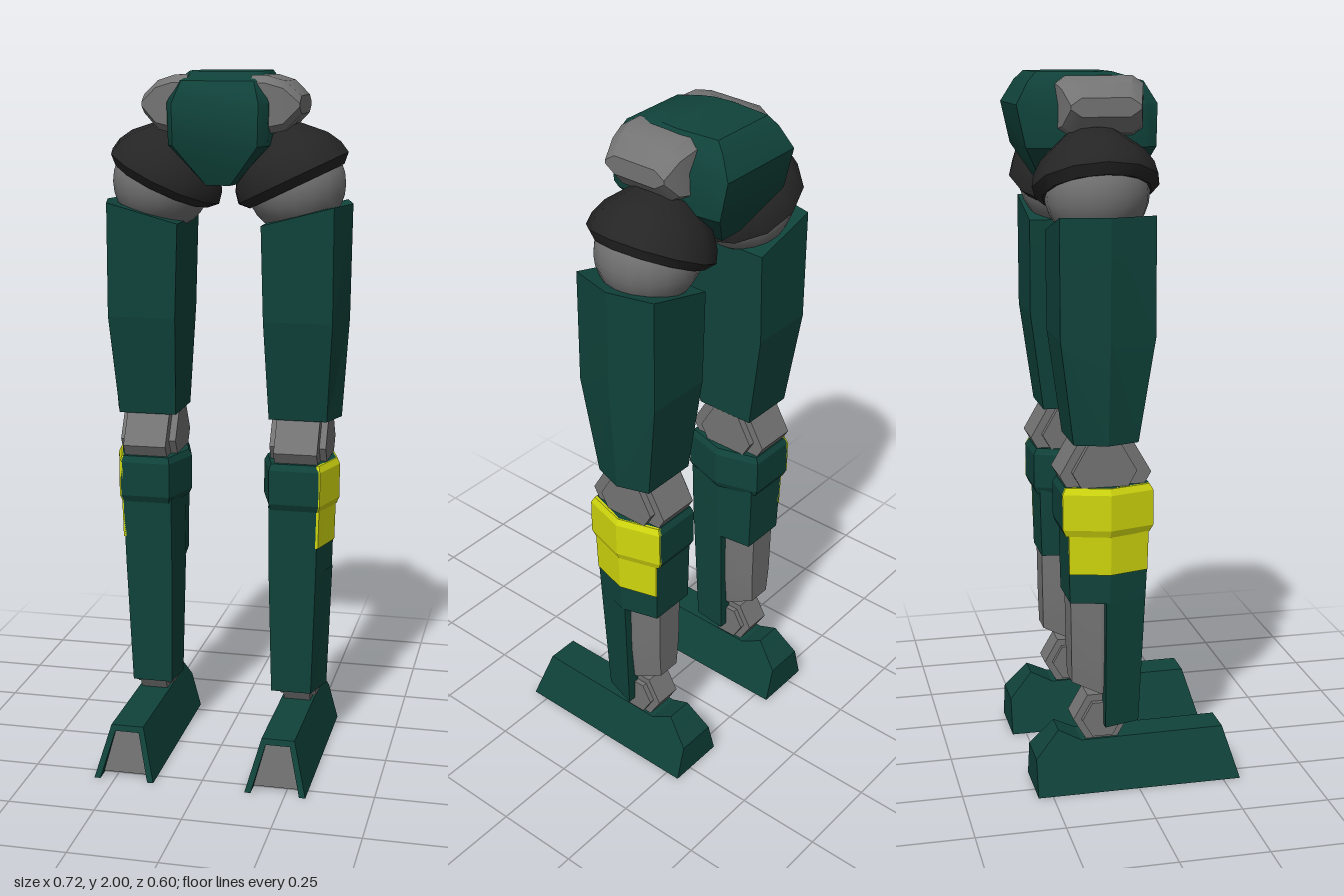
import * as THREE from 'three';
import { toCreasedNormals } from 'three/addons/utils/BufferGeometryUtils.js';

const material = (name, color) => {
  const m = new THREE.MeshStandardMaterial({ color });
  m.name = name;
  return m;
};

// Closed loft through rings of [x, y, z] points; axis (0..2) is the direction of travel
function loft(rings, axis) {
  const pos = [];
  const tri = (a, b, c) => pos.push(...a, ...b, ...c);
  const n = rings[0].length;
  for (let k = 0; k + 1 < rings.length; k++) {
    const a = rings[k], b = rings[k + 1];
    for (let i = 0; i < n; i++) {
      const j = (i + 1) % n;
      tri(a[i], a[j], b[j]);
      tri(a[i], b[j], b[i]);
    }
  }
  const cap = (ring, flip) => {
    const flat = ring.map((p) => new THREE.Vector2(...p.filter((_, i) => i !== axis)));
    const reverse = THREE.ShapeUtils.isClockWise(flat) !== flip;
    for (const [a, b, c] of THREE.ShapeUtils.triangulateShape(flat, [])) {
      if (reverse) tri(ring[a], ring[c], ring[b]);
      else tri(ring[a], ring[b], ring[c]);
    }
  };
  cap(rings[0], true);
  cap(rings[rings.length - 1], false);
  const g = new THREE.BufferGeometry();
  g.setAttribute('position', new THREE.Float32BufferAttribute(pos, 3));
  return g;
}

// Mirror if asked, turn all faces outward and crease the edges
function finish(source, side, crease) {
  const g = source.index ? source.toNonIndexed() : source.clone();
  g.deleteAttribute('uv');
  g.scale(side, 1, 1);
  const p = g.attributes.position;
  const [a, b, c] = [0, 1, 2].map(() => new THREE.Vector3());
  let volume = 0;
  for (let i = 0; i < p.count; i += 3) {
    a.fromBufferAttribute(p, i);
    b.fromBufferAttribute(p, i + 1);
    c.fromBufferAttribute(p, i + 2);
    volume += a.dot(b.cross(c));
  }
  if (volume < 0) {
    for (let i = 0; i < p.count; i += 3) {
      b.fromBufferAttribute(p, i + 1);
      c.fromBufferAttribute(p, i + 2);
      p.setXYZ(i + 1, c.x, c.y, c.z);
      p.setXYZ(i + 2, b.x, b.y, b.z);
    }
  }
  return toCreasedNormals(g, crease);
}

// Horizontal six-sided ring, pointed on the inner and outer side
const hexRing = (y, tipIn, xIn, xOut, tipOut, front, back) => {
  const mid = (front + back) / 2;
  return [[xIn, y, front], [xOut, y, front], [tipOut, y, mid],
    [xOut, y, back], [xIn, y, back], [tipIn, y, mid]];
};

// Thin chevron plate over the outer faces of a stack of hex rings
const outerPlate = (rings) => loft(rings.map((r) => {
  const [f, t, b] = [r[1], r[2], r[3]];
  const d = 0.004;
  return [[f[0] + d, f[1], f[2]], [t[0] + d, t[1], t[2]], [b[0] + d, b[1], b[2]],
    [b[0] - d, b[1], b[2]], [t[0] - d, t[1], t[2]], [f[0] - d, f[1], f[2]]];
}), 1);

// Six-sided joint barrel lying along x
const barrel = (radius, x0, x1, y, z) => new THREE.CylinderGeometry(radius, radius, x1 - x0, 6)
  .rotateY(Math.PI / 6 + Math.PI / 3).rotateZ(Math.PI / 2).rotateX(Math.PI / 2)
  .translate((x0 + x1) / 2, y, z);

export function createModel() {
  const green = material('dark green', 0x10433b);
  const grey = material('mid grey', 0x747474);
  const black = material('near black', 0x252525);
  const yellow = material('yellow', 0xd2d80e);

  const model = new THREE.Group();
  model.name = 'mechanicalLegs';
  const legs = { 1: new THREE.Group(), '-1': new THREE.Group() };
  legs[1].name = 'leftLeg';
  legs[-1].name = 'rightLeg';
  model.add(legs[1], legs[-1]);
  const add = (name, geo, mat, crease = 0.1) => {
    for (const side of [1, -1]) {
      const mesh = new THREE.Mesh(finish(geo, side, crease), mat);
      mesh.name = name;
      legs[side].add(mesh);
    }
  };

  // Pelvis: half width, front and back at each height
  const pelvis = loft([
    [1.69, 0.04, 0.045, -0.21], [1.80, 0.14, 0.088, -0.275], [1.915, 0.143, 0.09, -0.3],
    [1.975, 0.12, 0.055, -0.265], [2.0, 0.105, -0.03, -0.24],
  ].map(([y, w, f, b]) => {
    const half = [[w * 0.95, y, b], [w * 1.05, y, b + 0.12], [w, y, f - 0.035], [w * 0.85, y, f]];
    return [...half, ...half.map(([x, h, z]) => [-x, h, z]).reverse()];
  }), 1);
  const pelvisMesh = new THREE.Mesh(finish(pelvis, 1, 0.6), green);
  pelvisMesh.name = 'pelvis';
  model.add(pelvisMesh);

  // Grey pods on the flanks of the pelvis
  add('hipPod', loft([
    [0.09, 1.83, 1.99, -0.195, 0.05], [0.13, 1.83, 1.99, -0.193, 0.048],
    [0.18, 1.84, 1.975, -0.185, 0.035], [0.224, 1.885, 1.935, -0.17, 0.022],
  ].map(([x, y0, y1, z0, z1]) => [
    [x, y0, z0 + 0.03], [x, y0 + 0.02, z0], [x, y1 - 0.02, z0], [x, y1, z0 + 0.03],
    [x, y1, z1 - 0.03], [x, y1 - 0.02, z1], [x, y0 + 0.02, z1], [x, y0, z1 - 0.03],
  ]), 0), grey, 0.5);

  // Tilted hip dome and the ball under it
  const domeProfile = [[0, 0], [0.15, 0], [0.175, 0.025], [0.168, 0.06], [0.145, 0.1],
    [0.085, 0.158], [0, 0.17]].map(([r, h]) => new THREE.Vector2(r, h));
  add('hipDome', new THREE.LatheGeometry(domeProfile, 12).rotateZ(0.45)
    .translate(0.197, 1.68, -0.095), black, 0.65);
  add('hipBall', new THREE.SphereGeometry(0.143, 18, 14).translate(0.195, 1.69, -0.095), grey, 0.8);

  // Thigh, with a sloping top edge
  const thighRing = (y, yIn, xIn, xOut, tip, f, b) => [[xIn, yIn, f], [xOut, y, f],
    [tip, y, (f + b) / 2], [xOut, y, b], [xIn, yIn, b]];
  add('thigh', loft([
    thighRing(1.02, 1.02, 0.138, 0.307, 0.337, -0.005, -0.185),
    thighRing(1.31, 1.31, 0.128, 0.326, 0.356, 0.038, -0.223),
    thighRing(1.635, 1.58, 0.12, 0.326, 0.36, 0.038, -0.223),
  ], 1), green);

  // Knee
  add('knee', barrel(0.128, 0.16, 0.286, 0.93, -0.092), grey);
  add('kneeCap', barrel(0.09, 0.14, 0.305, 0.94, -0.098), grey);

  // Bevelled collar below the knee
  const collar = [
    hexRing(0.76, 0.12, 0.153, 0.288, 0.323, 0.03, -0.205),
    hexRing(0.78, 0.11, 0.148, 0.293, 0.331, 0.04, -0.214),
    hexRing(0.88, 0.11, 0.148, 0.293, 0.331, 0.04, -0.214),
    hexRing(0.898, 0.12, 0.153, 0.288, 0.323, 0.03, -0.205),
  ];
  add('shinCollar', loft(collar, 1), green);
  add('collarStripe', outerPlate(collar), yellow);

  // Shin: full block above, front shell below
  const shinTop = hexRing(0.77, 0.127, 0.145, 0.29, 0.321, 0.028, -0.197);
  const stripeEnd = hexRing(0.65, 0.13, 0.146, 0.287, 0.318, 0.025, -0.195);
  add('upperShin', loft([
    hexRing(0.565, 0.132, 0.146, 0.285, 0.316, 0.021, -0.193), stripeEnd, shinTop], 1), green);
  add('shinStripe', outerPlate([stripeEnd, shinTop]), yellow);
  add('lowerShin', loft([
    [[0.153, 0.193, 0.005], [0.272, 0.193, 0.005], [0.303, 0.193, -0.097], [0.142, 0.193, -0.097]],
    [[0.146, 0.565, 0.021], [0.285, 0.565, 0.021], [0.316, 0.565, -0.097], [0.132, 0.565, -0.097]],
  ], 1), green);

  // Calf behind the shin shell
  const calfRing = (yFront, yBack, w, b) => [[0.222 - w, yFront, -0.08], [0.222 + w, yFront, -0.08],
    [0.222 + w, yFront, -0.105], [0.222 + w * 0.65, yBack, b], [0.222 - w * 0.65, yBack, b],
    [0.222 - w, yFront, -0.105]];
  add('calf', loft([calfRing(0.285, 0.32, 0.055, -0.184), calfRing(0.4, 0.41, 0.066, -0.186),
    calfRing(0.57, 0.57, 0.068, -0.188)], 1), grey);

  // Ankle
  add('ankle', barrel(0.081, 0.182, 0.262, 0.208, -0.1), grey);
  add('ankleCap', barrel(0.058, 0.167, 0.277, 0.208, -0.1), grey);

  // Foot: open channel with a sloping toe, filled by a sole and closed by a heel block
  const cx = 0.222;
  const halfWidth = (y) => 0.088 - 0.27 * y;
  const channel = (zLow, zHigh, top) => {
    const w = halfWidth(top);
    const zIn = zLow + (zHigh - zLow) * 0.9;
    return [[cx - 0.088, 0, zLow], [cx - w, top, zHigh], [cx + w, top, zHigh], [cx + 0.088, 0, zLow],
      [cx + 0.07, 0, zLow], [cx + 0.035, 0.133, zIn], [cx - 0.035, 0.133, zIn], [cx - 0.07, 0, zLow]];
  };
  add('footShell', loft([channel(0.3, 0.255, 0.15), channel(-0.16, -0.16, 0.147),
    channel(-0.225, -0.225, 0.18), channel(-0.255, -0.255, 0.146)], 2), green);
  const heelRing = (z, top) => [[cx - 0.088, 0, z], [cx - halfWidth(top), top, z],
    [cx + halfWidth(top), top, z], [cx + 0.088, 0, z]];
  add('heel', loft([heelRing(-0.255, 0.146), heelRing(-0.292, 0.105)], 2), green);
  const soleRing = (zLow, zHigh) => [[cx - 0.068, 0.008, zLow], [cx - 0.035, 0.133, zHigh],
    [cx + 0.035, 0.133, zHigh], [cx + 0.068, 0.008, zLow]];
  add('sole', loft([soleRing(0.265, 0.252), soleRing(-0.255, -0.255)], 2), grey);

  return model;
}
